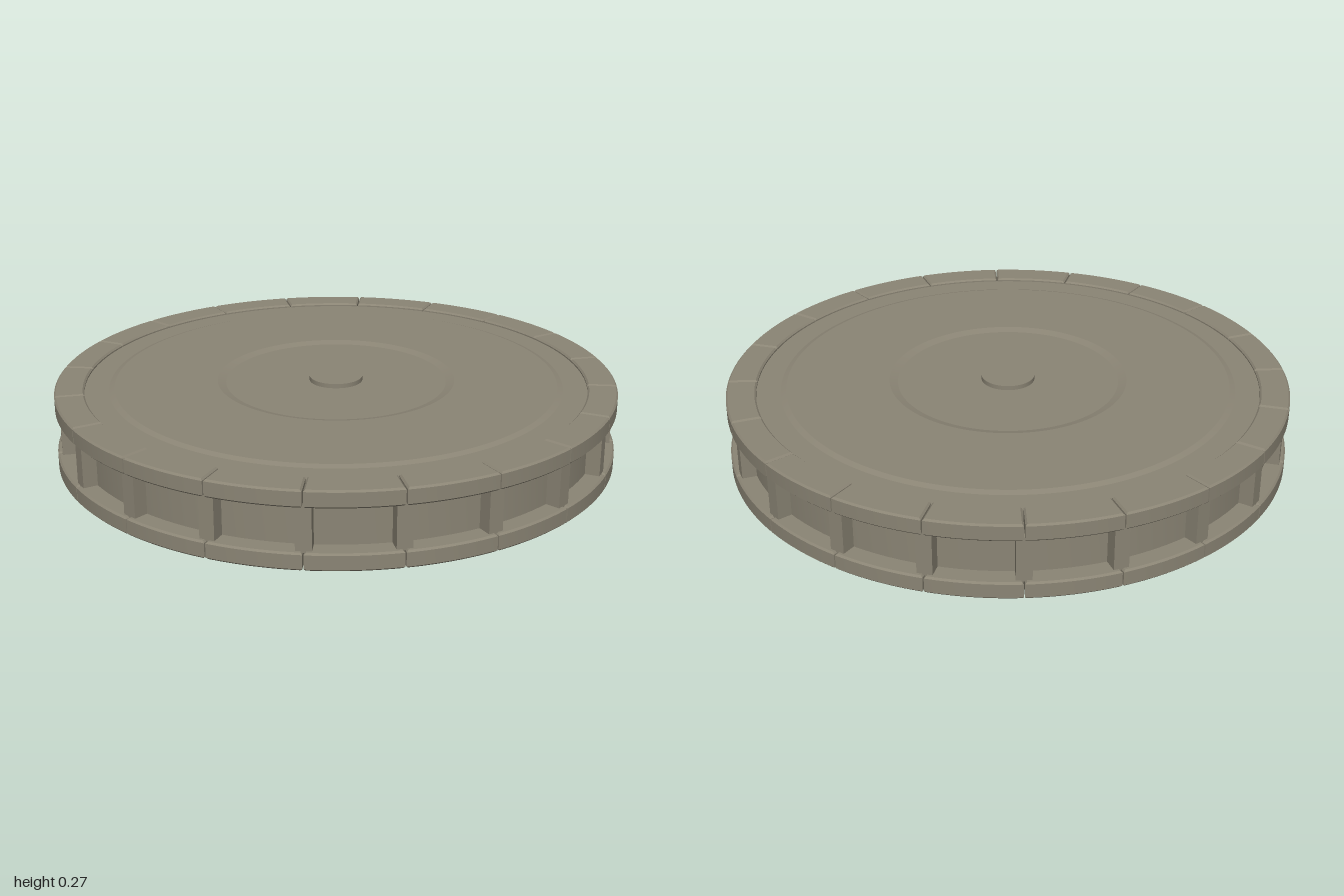
import * as THREE from 'three';
import { toCreasedNormals } from 'three/addons/utils/BufferGeometryUtils.js';

const SEGMENTS = 20;
const STEP = (Math.PI * 2) / SEGMENTS;

// One rim stone: a bevelled arc block lying flat, centred on the +x axis
function rimStoneGeometry(inner, outer, height) {
  const bevel = 0.006;
  const gap = 0.002;
  const r0 = inner + bevel, r1 = outer - bevel;
  const a0 = STEP / 2 - (bevel + gap) / r0;
  const a1 = STEP / 2 - (bevel + gap) / r1;
  const shape = new THREE.Shape();
  shape.absarc(0, 0, r1, -a1, a1, false);
  shape.absarc(0, 0, r0, a0, -a0, true);
  shape.closePath();
  const geometry = new THREE.ExtrudeGeometry(shape, {
    depth: height - 2 * bevel, bevelEnabled: true, bevelSize: bevel,
    bevelThickness: bevel, bevelSegments: 1, curveSegments: 8,
  });
  geometry.rotateX(-Math.PI / 2);
  geometry.translate(0, bevel, 0);
  return toCreasedNormals(geometry, 0.5);
}

export function createModel() {
  const model = new THREE.Group();
  model.name = 'roundPlatform';
  const stone = new THREE.MeshStandardMaterial({ color: 0x8b8575 });
  stone.name = 'stone';

  function add(name, geometry, parent = model) {
    const mesh = new THREE.Mesh(geometry, stone);
    mesh.name = name;
    parent.add(mesh);
    return mesh;
  }

  // Drum with recessed underside, raised deck band and sunken centre
  const profile = [
    [0, 0.02], [0.9, 0.02], [0.9, 0.045], [0.935, 0.045], [0.935, 0.225],
    [0.9, 0.225], [0.9, 0.258], [0.81, 0.258], [0.79, 0.265],
    [0.425, 0.265], [0.395, 0.257], [0, 0.257],
  ].map(([r, y]) => new THREE.Vector2(r, y));
  add('drum', toCreasedNormals(new THREE.LatheGeometry(profile, 120), 0.2));

  // Small central boss
  const boss = add('centreBoss', new THREE.CylinderGeometry(0.095, 0.095, 0.02, 48));
  boss.position.y = 0.263;

  // Lower and upper rings of rim stones
  const rimStone = rimStoneGeometry(0.895, 1, 0.06);
  for (const [name, y] of [['lowerRim', 0], ['upperRim', 0.209]]) {
    const rim = new THREE.Group();
    rim.name = name;
    rim.position.y = y;
    model.add(rim);
    for (let i = 0; i < SEGMENTS; i++) {
      add('rimStone', rimStone, rim).rotation.y = (i + 0.5) * STEP;
    }
  }

  // Upright posts below each joint of the rim
  const posts = new THREE.Group();
  posts.name = 'posts';
  model.add(posts);
  const postGeometry = new THREE.BoxGeometry(0.06, 0.16, 0.052);
  postGeometry.translate(0.955, 0.135, 0);
  for (let i = 0; i < SEGMENTS; i++) {
    add('post', postGeometry, posts).rotation.y = i * STEP;
  }

  return model;
}
